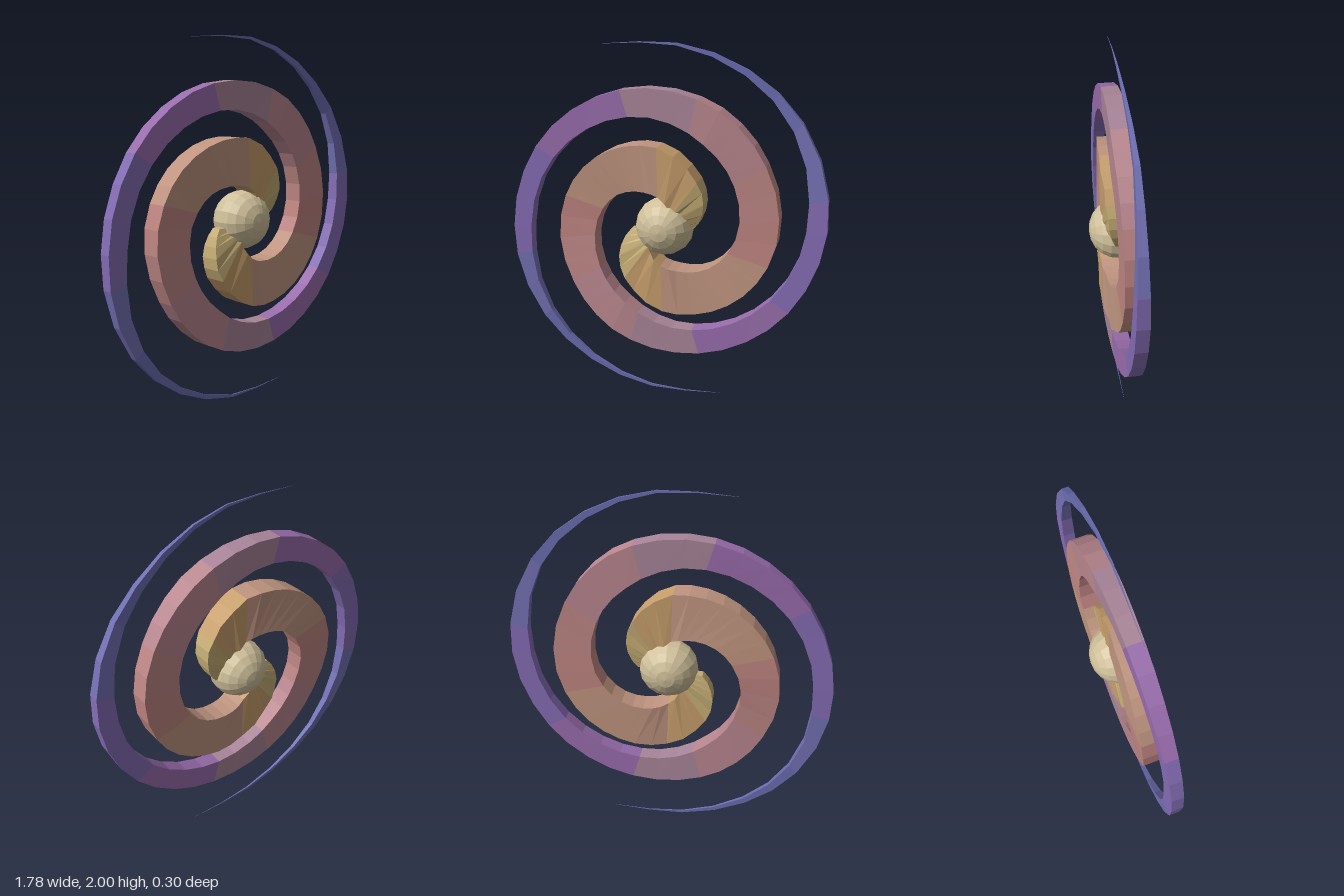
import * as THREE from 'three';

// Arm profile: [sweep angle in degrees, outer radius, width, z offset]
const PROFILE = [
  [5, 0.18, 0.1, 0], [20, 0.235, 0.17, 0.005], [42, 0.318, 0.23, 0.015], [61, 0.372, 0.25, 0.018],
  [90, 0.463, 0.273, 0.02], [116, 0.504, 0.267, 0.005], [148, 0.555, 0.238, -0.016], [180, 0.6, 0.218, -0.024],
  [212, 0.637, 0.2, -0.008], [245, 0.695, 0.195, 0.004], [278, 0.739, 0.152, 0.005], [310, 0.787, 0.13, 0.003],
  [343, 0.846, 0.111, 0.001], [369, 0.902, 0.107, 0], [397, 0.955, 0.066, -0.003], [414, 0.975, 0.042, -0.008],
  [430, 0.988, 0.026, 0.002], [447, 1.002, 0.013, 0.005], [457, 1.007, 0.006, 0], [469, 1.04, 0.001, -0.003],
];

// Colour bands along the arm: [end angle, colour]
const BANDS = [
  [55, 0xc4ac74], [92, 0xc69e6c], [165, 0xbf947f], [190, 0xbe8480], [215, 0xbc8684],
  [255, 0xb8868e], [287, 0xa88498], [330, 0x986cac], [375, 0x846cb4], [400, 0x7470b4], [469, 0x6a6cb0],
];

const START = PROFILE[0][0];

function sample(deg) {
  let i = 0;
  while (i < PROFILE.length - 2 && deg > PROFILE[i + 1][0]) i++;
  const a = PROFILE[i], b = PROFILE[i + 1];
  const t = (deg - a[0]) / (b[0] - a[0]);
  return a.map((v, k) => v + (b[k] - v) * t);
}

// Rectangular cross-section of the arm at one angle
function section(deg, swell, drift) {
  let [, outer, width, z] = sample(deg);
  if (deg > 90 && deg < 366) outer += swell * Math.sin(Math.PI * (deg - 90) / 276);
  if (deg > 110) z *= drift;
  const pleat = deg < 110 ? 1 + 0.06 * Math.sin(deg * 0.25) : 1;
  const h = width * pleat * (0.255 + 0.055 * THREE.MathUtils.smoothstep(deg, 200, 280));
  const a = THREE.MathUtils.degToRad(deg);
  return [[outer - width, -h], [outer, -h], [outer, h], [outer - width, h]]
    .map(([r, dz]) => [r * Math.cos(a), r * Math.sin(a), z + dz]);
}

// One coloured stretch of an arm
function armBand(from, to, color, swell, drift) {
  const steps = Math.max(1, Math.round((to - from) / 11));
  const pos = [];
  const quad = (a, b, c, d) => pos.push(...a, ...b, ...c, ...a, ...c, ...d);
  const rings = [];
  for (let i = 0; i <= steps; i++) rings.push(section(from + (to - from) * i / steps, swell, drift));
  if (from === START) quad(...rings[0]);
  for (let i = 0; i < steps; i++) {
    const a = rings[i], b = rings[i + 1];
    for (let j = 0; j < 4; j++) {
      const k = (j + 1) % 4;
      quad(a[j], b[j], b[k], a[k]);
    }
  }
  const geo = new THREE.BufferGeometry();
  geo.setAttribute('position', new THREE.Float32BufferAttribute(pos, 3));
  geo.computeVertexNormals();
  return new THREE.Mesh(geo, new THREE.MeshStandardMaterial({ color, flatShading: true }));
}

function spiralArm(name, swell, drift) {
  const arm = new THREE.Group();
  arm.name = name;
  let from = START;
  BANDS.forEach(([to, color], i) => {
    const mesh = armBand(from, to, color, swell, drift);
    mesh.name = `${name}Band${i + 1}`;
    arm.add(mesh);
    from = to;
  });
  arm.position.y = 1;
  return arm;
}

export function createModel() {
  const model = new THREE.Group();
  model.name = 'spiralGalaxy';

  // Central bulge, poles facing front and back
  const coreGeo = new THREE.SphereGeometry(0.163, 16, 10);
  coreGeo.rotateX(Math.PI / 2);
  coreGeo.scale(1, 1, 0.92);
  const core = new THREE.Mesh(coreGeo, new THREE.MeshStandardMaterial({ color: 0xcfc09a, flatShading: true }));
  core.name = 'core';
  core.position.set(0.01, 1.013, 0);
  model.add(core);

  // Two arms, half a turn apart, one a little wider and flatter in its middle
  const armA = spiralArm('firstArm', 0, 1);
  const armB = spiralArm('secondArm', 0.043, 0.4);
  armB.rotation.z = Math.PI;
  model.add(armA, armB);

  return model;
}
